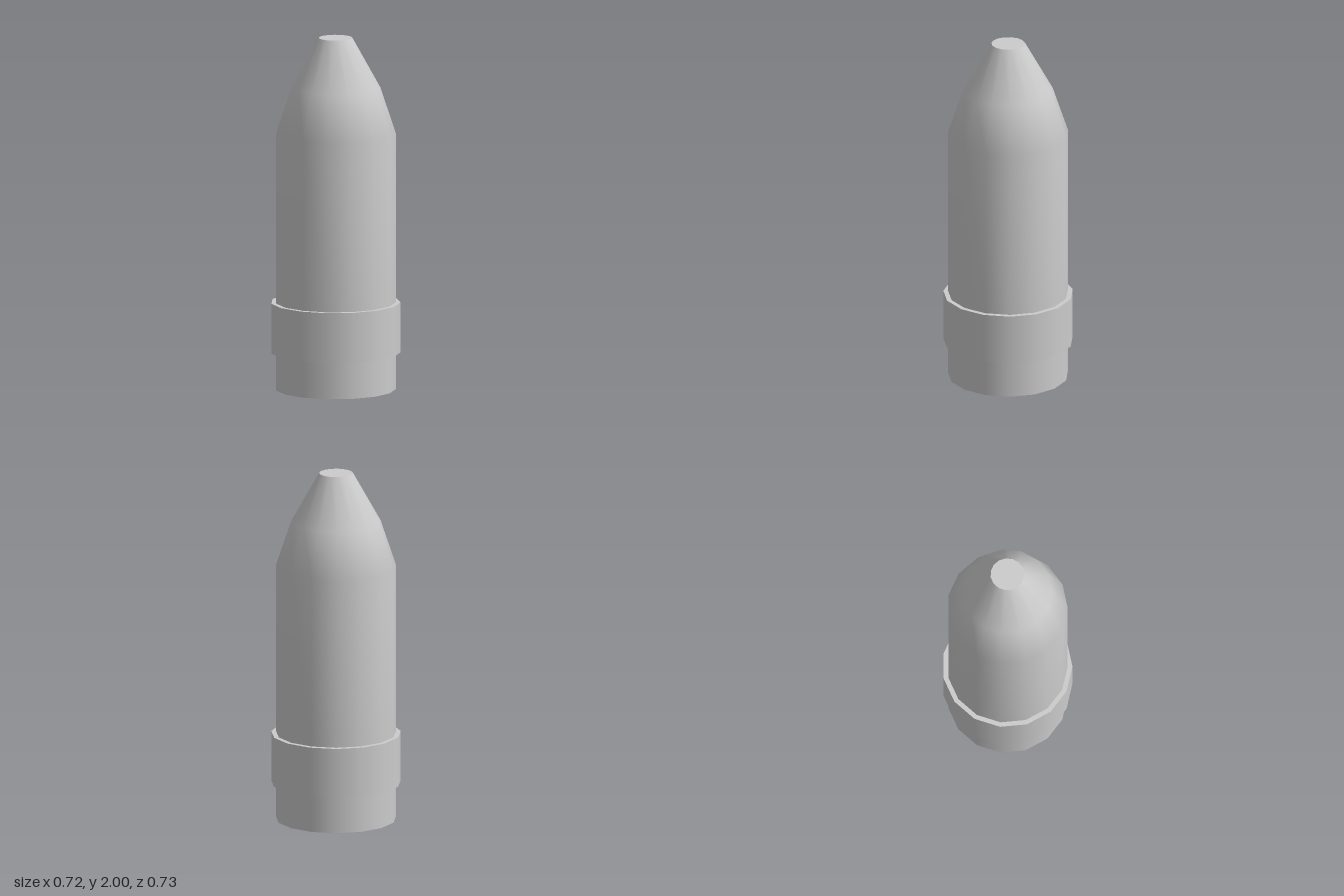
import * as THREE from 'three';

const SIDES = 15;
const BODY_R = 0.338, BAND_R = 0.365, TIP_R = 0.095;
const BAND_BOTTOM = 0.21, BAND_TOP = 0.495;

export function createModel() {
  const model = new THREE.Group();
  const material = new THREE.MeshStandardMaterial({ color: 0xcccccc });

  // Revolves a [radius, height] profile with one corner on the +x axis.
  // Each smooth strip is its own mesh, so the rims between strips stay sharp.
  function turned(name, profile) {
    const points = profile.map(([r, y]) => new THREE.Vector2(r, y));
    const geometry = new THREE.LatheGeometry(points, SIDES, Math.PI / 2);
    const mesh = new THREE.Mesh(geometry, material);
    mesh.name = name;
    model.add(mesh);
  }

  // Base: flat underside and lower wall
  turned('baseCap', [[0, 0], [BODY_R, 0]]);
  turned('baseWall', [[BODY_R, 0], [BODY_R, BAND_BOTTOM]]);

  // Raised band with its two ledges
  turned('bandLowerLedge', [[BODY_R, BAND_BOTTOM], [BAND_R, BAND_BOTTOM]]);
  turned('bandWall', [[BAND_R, BAND_BOTTOM], [BAND_R, BAND_TOP]]);
  turned('bandUpperLedge', [[BAND_R, BAND_TOP], [BODY_R, BAND_TOP]]);

  // Long body tapering smoothly into the nose
  turned('bodyAndNose', [[BODY_R, BAND_TOP], [BODY_R, 1.46], [0.251, 1.72], [TIP_R, 2]]);

  // Flat tip
  turned('tipCap', [[TIP_R, 2], [0, 2]]);

  // An odd-sided ring reaches further on its corner side, so shift it to centre the bounds
  const shift = -BAND_R * (1 - Math.cos(Math.PI / SIDES)) / 2;
  model.children.forEach((mesh) => { mesh.position.x = shift; });
  return model;
}
